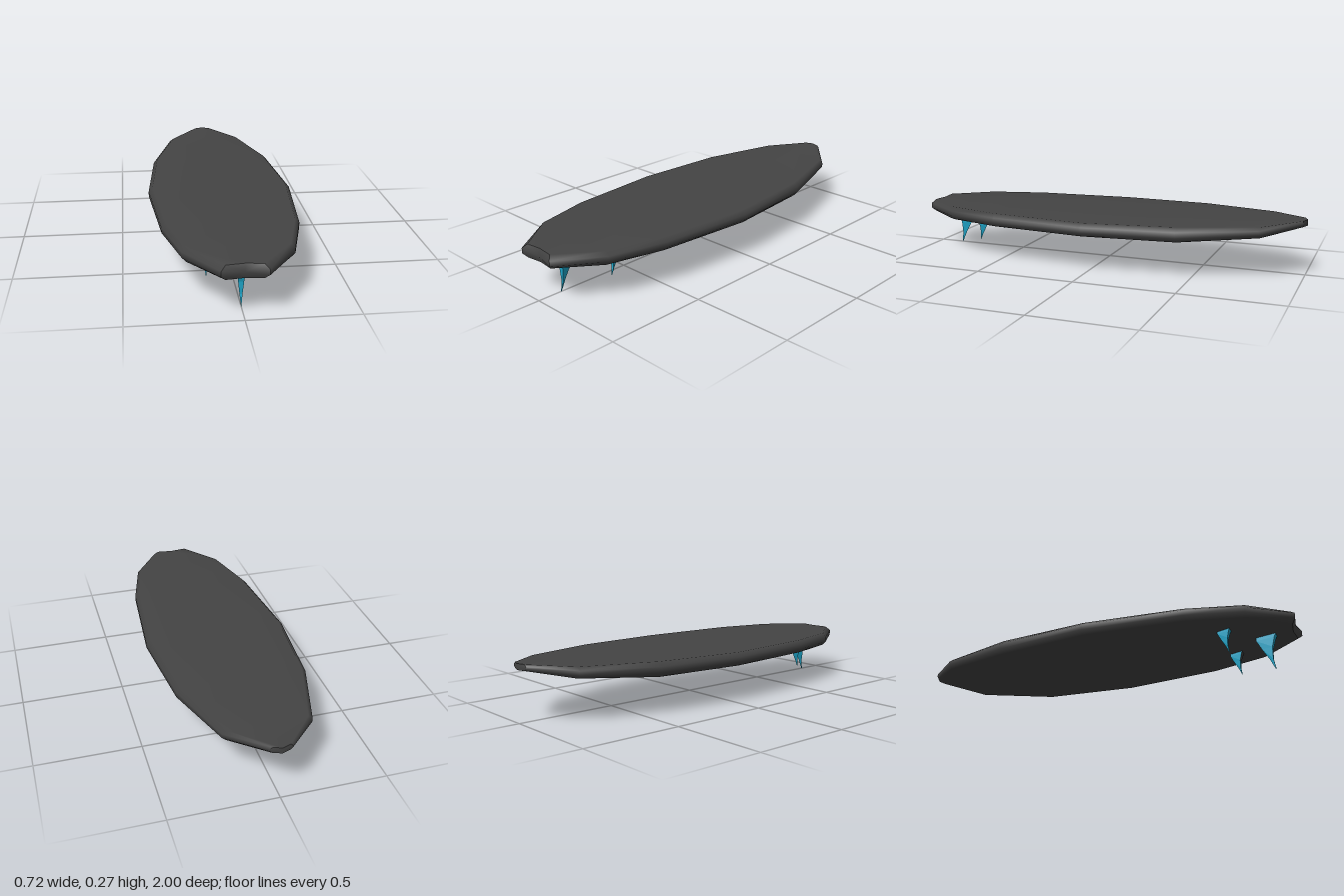
import * as THREE from 'three';

const dark = new THREE.MeshStandardMaterial({ color: 0x444444 });
const blue = new THREE.MeshStandardMaterial({ color: 0x1fa8cc, flatShading: true });
const darkFlat = new THREE.MeshStandardMaterial({ color: 0x444444, flatShading: true });

// Skin a row of closed sections (counter-clockwise seen from the last one) and cap both ends.
function loft(sections, startCentre, endCentre) {
  const n = sections[0].length;
  const pos = sections.flat(2);
  const idx = [];
  for (let j = 0; j < sections.length - 1; j++) {
    for (let i = 0; i < n; i++) {
      const k = (i + 1) % n;
      const a = j * n + i, b = j * n + k, c = b + n, d = a + n;
      idx.push(a, b, d, b, c, d);
    }
  }
  const cap = (section, centre, flip) => {
    const base = pos.length / 3;
    pos.push(...centre, ...section.flat());
    for (let i = 0; i < n; i++) {
      const a = base + 1 + i, b = base + 1 + (i + 1) % n;
      idx.push(base, flip ? b : a, flip ? a : b);
    }
  };
  cap(sections[0], startCentre, true);
  cap(sections[sections.length - 1], endCentre, false);
  const g = new THREE.BufferGeometry();
  g.setAttribute('position', new THREE.Float32BufferAttribute(pos, 3));
  g.setIndex(idx);
  g.computeVertexNormals();
  return g;
}

// Board section: flat deck and bottom with bevelled rails.
// bow pushes the outer points along z, lip pushes the rail beyond deck and bottom.
function boardSection([z, w, bottom, top, bow = 0, lip = 0]) {
  const h = top - bottom;
  const inset = Math.min(0.02, w * 0.2);
  const half = [
    [w - inset, bottom, z + bow],
    [w, bottom + h * 0.31, z + bow + lip],
    [w, bottom + h * 0.7, z + bow + lip],
    [w - inset, top, z + bow],
  ];
  const mirrored = half.map(([x, y, pz]) => [-x, y, pz]).reverse();
  return [[0, bottom, z], ...half, [0, top, z], ...mirrored];
}

function makeBoard() {
  // z, half width, bottom, top, bow, lip
  const stations = [
    [-1.0, 0.05, 0.243, 0.272, 0.015],
    [-0.81, 0.207, 0.208, 0.26],
    [-0.44, 0.317, 0.181, 0.253],
    [0.02, 0.36, 0.18, 0.246],
    [0.51, 0.317, 0.18, 0.246],
    [0.79, 0.245, 0.18, 0.246],
    [0.972, 0.1, 0.18, 0.246, 0.01, 0.018],
  ];
  return loft(stations.map(boardSection), [0, 0.258, -1], [0, 0.213, 0.985]);
}

// Fin levels: depth fraction, leading edge, trailing edge (fractions of root length)
const finLevels = [
  [0, 0, 1],
  [0.1, 0, 0.92],
  [0.375, 0.25, 0.78],
  [0.7, 0.58, 0.76],
  [1, 0.83, 0.86],
];

// Swept fin with a sharp leading edge and a flat trailing face
function makeFin(z, length, height, halfWidth, levels = finLevels) {
  const sections = levels.map(([t, lead, trail]) => {
    const y = 0.181 - t * height;
    const w = halfWidth * (1 - t * 0.96);
    const zb = z + trail * length;
    return [[0, y, z + lead * length], [-w, y, zb], [w, y, zb]];
  }).reverse();
  const centre = s => [0, s[0][1], (s[0][2] + s[1][2]) / 2];
  return loft(sections, centre(sections[0]), centre(sections[sections.length - 1]));
}

export function createModel() {
  const group = new THREE.Group();
  const add = (name, geometry, material, x = 0) => {
    const mesh = new THREE.Mesh(geometry, material);
    mesh.name = name;
    mesh.position.x = x;
    group.add(mesh);
    return mesh;
  };

  add('board', makeBoard(), dark);
  add('centreFin', makeFin(0.79, 0.1, 0.181, 0.02), blue);
  for (const [name, x] of [['leftFin', 0.132], ['rightFin', -0.132]]) {
    add(name, makeFin(0.63, 0.065, 0.121, 0.019), blue, x);
  }

  // Dark upper part of the left fin's trailing face
  const patch = makeFin(0.63, 0.065, 0.121, 0.019, finLevels.slice(0, 3));
  add('leftFinPatch', patch, darkFlat, 0.132).position.z = 0.001;

  return group;
}
